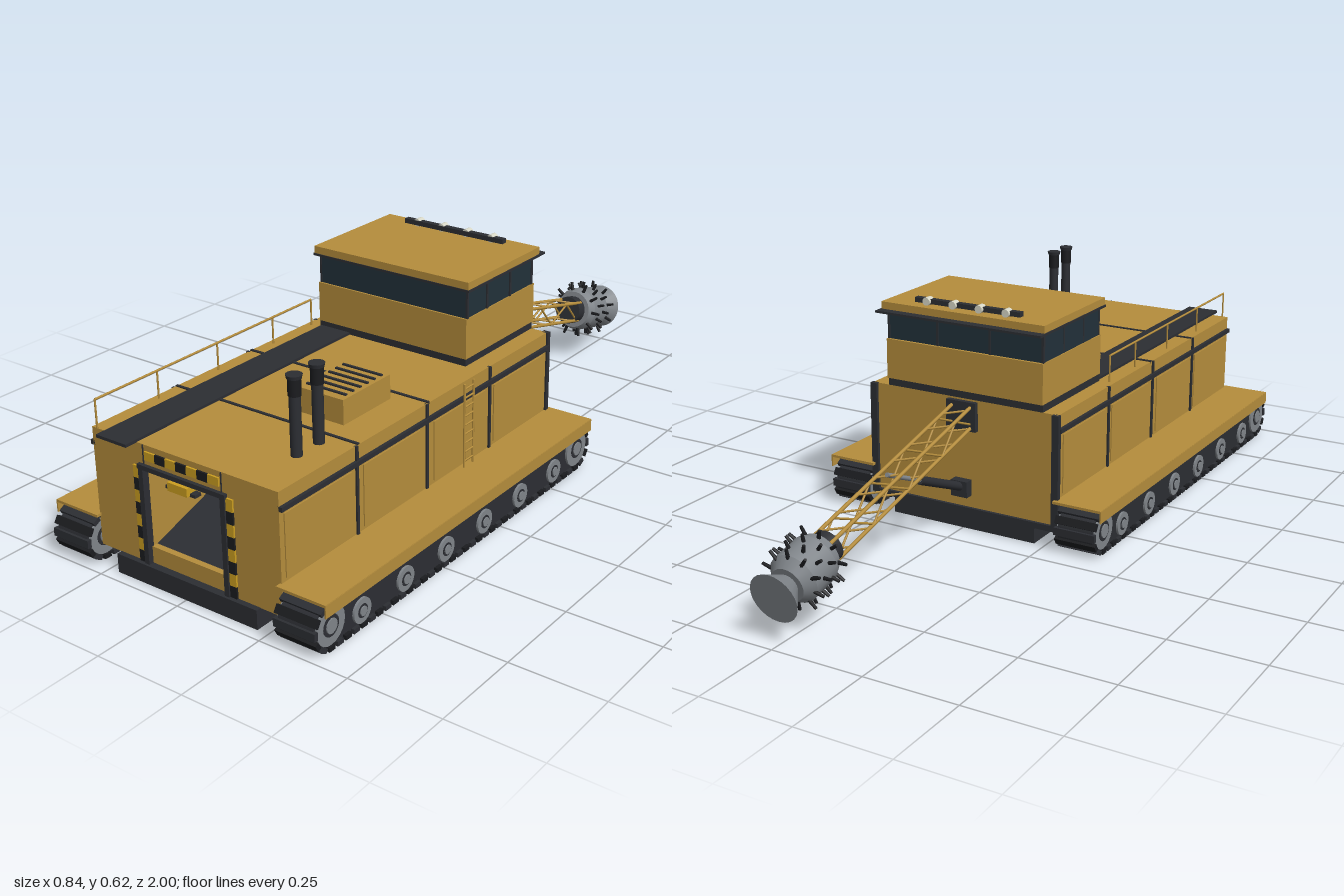
import * as THREE from 'three';

const mat = (color) => new THREE.MeshStandardMaterial({ color });
const V = (x, y, z) => new THREE.Vector3(x, y, z);

export function createModel() {
  const model = new THREE.Group();
  model.name = 'tunnelMiner';
  const ochre = mat(0xb58d3c), dark = mat(0x2c2e33), black = mat(0x1b1c1f), glass = mat(0x22313a),
    steel = mat(0x80858a), hazard = mat(0xcb9e20), lampMat = mat(0xd8d8c8);

  const add = (parent, name, geo, m) => {
    const mesh = new THREE.Mesh(geo, m);
    mesh.name = name;
    parent.add(mesh);
    return mesh;
  };
  // box given by its minimum and maximum on each axis
  const box = (name, x0, x1, y0, y1, z0, z1, m, parent = model) => {
    const b = add(parent, name, new THREE.BoxGeometry(x1 - x0, y1 - y0, z1 - z0), m);
    b.position.set((x0 + x1) / 2, (y0 + y1) / 2, (z0 + z1) / 2);
    return b;
  };
  // round bar between two points
  const bar = (name, a, b, r, m, parent = model, r2 = r, sides = 8) => {
    const c = add(parent, name, new THREE.CylinderGeometry(r2, r, a.distanceTo(b), sides), m);
    c.position.copy(a).add(b).multiplyScalar(0.5);
    c.quaternion.setFromUnitVectors(V(0, 1, 0), b.clone().sub(a).normalize());
    return c;
  };
  const group = (name, parent = model) => {
    const g = new THREE.Group();
    g.name = name;
    parent.add(g);
    return g;
  };

  // Hull: solid forward part and an arch-shaped rear part around the doorway
  box('hullCore', -0.285, 0.285, 0.055, 0.37, -0.165, 0.3, ochre);
  const arch = new THREE.Shape([[-0.285, 0.055], [-0.12, 0.055], [-0.12, 0.31], [0.12, 0.31], [0.12, 0.055],
    [0.285, 0.055], [0.285, 0.37], [-0.285, 0.37]].map(([x, y]) => new THREE.Vector2(x, y)));
  add(model, 'hullBay', new THREE.ExtrudeGeometry(arch, { depth: 0.655, bevelEnabled: false }), ochre).position.z = 0.3;
  box('bellyPlate', -0.22, 0.22, 0.005, 0.056, -0.17, 0.97, dark);

  // Doorway: loading ramp, sill, frame, lamp and warning stripes
  box('doorSill', -0.12, 0.12, 0.055, 0.1, 0.9, 0.95, ochre);
  bar('loadingRamp', V(0, 0.09, 0.94), V(0, 0.3, 0.3), 0.1, dark).geometry = new THREE.BoxGeometry(0.238, 0.674, 0.015);
  box('bayBack', -0.119, 0.119, 0.056, 0.309, 0.3, 0.303, dark);
  box('doorHeader', -0.135, 0.135, 0.308, 0.32, 0.95, 0.965, dark);
  box('lampMount', -0.046, 0.046, 0.284, 0.292, 0.945, 0.965, dark);
  box('doorLamp', -0.03, 0.03, 0.286, 0.308, 0.945, 0.975, hazard);
  for (const s of [-1, 1]) {
    box('doorPost', s * 0.126 - 0.007, s * 0.126 + 0.007, 0.055, 0.31, 0.945, 0.964, dark);
    box('headerSeam', s * 0.12 - 0.001, s * 0.12 + 0.001, 0.32, 0.37, 0.955, 0.958, dark);
    for (let i = 0; i < 8; i++)
      box('sideStripe', s * 0.143 - 0.01, s * 0.143 + 0.01, 0.055 + i * 0.032, 0.087 + i * 0.032, 0.95, 0.96, i % 2 ? hazard : black);
  }
  for (let i = 0; i < 7; i++)
    box('topStripe', -0.114 + i * 0.0326, -0.0814 + i * 0.0326, 0.333, 0.355, 0.95, 0.96, i % 2 ? black : hazard);

  // Hull sides: belt strip, panels, ribs and corner posts
  for (const s of [-1, 1]) {
    const side = (name, y0, y1, z0, z1, t, m) =>
      box(name, s > 0 ? 0.28 : -0.285 - t, s > 0 ? 0.285 + t : -0.28, y0, y1, z0, z1, m);
    side('beltStrip', 0.322, 0.334, -0.165, 0.955, 0.009, dark);
    for (const [z0, z1] of [[0.7, 0.94], [0.43, 0.655], [0.14, 0.37], [-0.14, 0.1]])
      side('sidePanel', 0.15, 0.312, z0, z1, 0.003, ochre);
    for (const z of [0.68, 0.4, 0.12]) side('sideRib', 0.14, 0.37, z - 0.004, z + 0.004, 0.005, dark);
    box('cornerPost', s * 0.28 - 0.01, s * 0.28 + 0.01, 0.055, 0.37, -0.174, -0.16, dark);
  }
  box('frontBottomRail', -0.285, 0.285, 0.05, 0.066, -0.174, -0.16, dark);
  for (const z of [0.67, 0.39]) box('deckSeam', -0.285, 0.285, 0.365, 0.373, z - 0.004, z + 0.004, dark);

  // Crawler tracks: belt with cleats, wheels, fender
  const z0 = -0.135, z1 = 0.935, R = 0.056, cy = 0.066, straight = z1 - z0, loop = 2 * straight + 2 * Math.PI * R;
  const beltShape = new THREE.Shape();
  beltShape.absarc(z1, cy, R, -Math.PI / 2, Math.PI / 2, false);
  beltShape.absarc(z0, cy, R, Math.PI / 2, Math.PI * 1.5, false);
  beltShape.closePath();
  const beltGeo = new THREE.ExtrudeGeometry(beltShape, { depth: 0.1, bevelEnabled: false, curveSegments: 14 });
  beltGeo.rotateY(-Math.PI / 2).translate(0.05, 0, 0);
  const cleatGeo = new THREE.BoxGeometry(0.118, 0.012, 0.021);
  for (const s of [-1, 1]) {
    const track = group(s > 0 ? 'leftTrack' : 'rightTrack');
    track.position.x = s * 0.35;
    add(track, 'trackBelt', beltGeo, dark);
    const count = 84;
    for (let i = 0; i < count; i++) {
      let d = (i / count) * loop, z, y, a;
      if (d < straight) { z = z0 + d; y = cy + R; a = 0; }
      else if ((d -= straight) < Math.PI * R) { a = d / R; z = z1 + R * Math.sin(a); y = cy + R * Math.cos(a); }
      else if ((d -= Math.PI * R) < straight) { z = z1 - d; y = cy - R; a = Math.PI; }
      else { a = Math.PI + (d - straight) / R; z = z0 + R * Math.sin(a); y = cy + R * Math.cos(a); }
      const cleat = add(track, 'trackCleat', cleatGeo, i % 2 ? dark : black);
      cleat.position.set(0, y, z);
      cleat.rotation.x = a;
    }
    const wheel = (z, y, r) => {
      bar('wheel', V(-0.056, y, z), V(0.056, y, z), r, steel, track, r, 20);
      bar('wheelDish', V(-0.057, y, z), V(0.057, y, z), r * 0.55, dark, track, r * 0.55, 20);
      bar('wheelHub', V(-0.06, y, z), V(0.06, y, z), r * 0.38, steel, track, r * 0.38, 12);
    };
    for (const z of [z0, z1]) wheel(z, 0.068, 0.05);
    for (let i = 0; i < 6; i++) wheel(0.82 - i * 0.168, 0.047, 0.032);
    box('fender', -0.07, 0.07, 0.134, 0.141, -0.185, 0.97, ochre, track);
    box('fenderSkirt', s * 0.069 - 0.002, s * 0.069 + 0.002, 0.107, 0.14, -0.185, 0.97, ochre, track);
  }

  // Cab with window band, roof, visor and light bar
  const cab = group('cab');
  box('cabBase', -0.24, 0.235, 0.37, 0.392, -0.165, 0.155, dark, cab);
  box('cabBody', -0.24, 0.237, 0.39, 0.5, -0.168, 0.157, ochre, cab);
  box('windowBand', -0.237, 0.234, 0.5, 0.58, -0.16, 0.152, glass, cab);
  for (const x of [-0.236, -0.08, 0.08, 0.233]) box('frontMullion', x - 0.003, x + 0.003, 0.5, 0.58, -0.163, -0.155, dark, cab);
  for (const s of [-1, 1])
    for (const z of [-0.05, 0.06, 0.15]) box('sideMullion', s * 0.235 - 0.003, s * 0.235 + 0.003, 0.5, 0.58, z - 0.003, z + 0.003, dark, cab);
  box('visor', -0.25, 0.25, 0.577, 0.583, -0.2, 0.165, dark, cab);
  box('cabRoof', -0.247, 0.247, 0.582, 0.603, -0.175, 0.163, ochre, cab);
  box('lightBar', -0.16, 0.16, 0.606, 0.619, -0.145, -0.128, dark, cab);
  for (let i = 0; i < 4; i++) {
    const x = -0.12 + i * 0.08;
    bar('roofLamp', V(x, 0.613, -0.13), V(x, 0.613, -0.153), 0.011, lampMat, cab, 0.011, 14);
    box('lampFoot', x - 0.006, x + 0.006, 0.6, 0.608, -0.141, -0.131, dark, cab);
  }

  // Deck: conveyor, engine cover, exhaust stacks
  box('deckConveyor', -0.235, -0.14, 0.369, 0.377, 0.157, 0.99, dark);
  box('engineCover', 0.055, 0.195, 0.37, 0.435, 0.425, 0.61, ochre);
  for (let i = 0; i < 6; i++) box('louvre', 0.065, 0.185, 0.433, 0.439, 0.441 + i * 0.028, 0.448 + i * 0.028, dark);
  for (const z of [0.715, 0.795]) {
    bar('exhaustStack', V(0.205, 0.37, z), V(0.205, 0.56, z), 0.014, dark, model, 0.014, 16);
    bar('exhaustSleeve', V(0.205, 0.52, z), V(0.205, 0.565, z), 0.016, black, model, 0.016, 16);
    bar('exhaustCap', V(0.205, 0.562, z), V(0.205, 0.571, z), 0.018, dark, model, 0.02, 16);
  }

  // Railing on the right edge, ladder on the left side
  for (const z of [0.955, 0.75, 0.535, 0.32, 0.16]) bar('railPost', V(-0.268, 0.37, z), V(-0.268, 0.445, z), 0.0025, ochre);
  bar('handRail', V(-0.268, 0.444, 0.955), V(-0.268, 0.444, 0.16), 0.003, ochre);
  for (const z of [0.215, 0.255]) bar('ladderRail', V(0.3, 0.142, z), V(0.3, 0.373, z), 0.003, ochre);
  for (let i = 0; i < 9; i++) bar('ladderRung', V(0.3, 0.16 + i * 0.025, 0.215), V(0.3, 0.16 + i * 0.025, 0.255), 0.0025, ochre);

  // Lattice boom, running along its own -z
  const boom = group('boom');
  boom.position.set(0, 0.325, -0.165);
  boom.rotation.x = -0.24;
  const w = 0.028, h = 0.028, bays = 8, step = 0.64 / bays;
  for (const x of [-w, w]) for (const y of [-h, h]) bar('boomChord', V(x, y, 0.01), V(x, y, -0.65), 0.005, ochre, boom);
  for (let i = 0; i < bays; i++) {
    const f = i % 2 ? 1 : -1, a = -i * step, b = a - step;
    for (const s of [-1, 1]) {
      bar('sideBrace', V(s * w, f * h, a), V(s * w, -f * h, b), 0.003, ochre, boom);
      bar('crossBrace', V(-w, s * h, a - 0.02), V(w, s * h, a - 0.055), 0.003, ochre, boom);
    }
  }
  // Cutter head: gearbox neck, drum with picks, flared nose
  const head = group('cutterHead', boom);
  bar('cutterNeck', V(0, 0, -0.625), V(0, 0, -0.68), 0.042, dark, head, 0.042, 20);
  bar('drumBack', V(0, 0, -0.66), V(0, 0, -0.685), 0.056, steel, head, 0.066, 24);
  bar('drum', V(0, 0, -0.685), V(0, 0, -0.765), 0.066, steel, head, 0.066, 24);
  bar('drumFront', V(0, 0, -0.765), V(0, 0, -0.79), 0.066, steel, head, 0.045, 24);
  bar('flaredNose', V(0, 0, -0.785), V(0, 0, -0.843), 0.026, steel, head, 0.066, 24);
  for (let ring = 0; ring < 4; ring++)
    for (let i = 0; i < 10; i++) {
      const a = (i + ring * 0.5) * Math.PI / 5, z = -0.675 - ring * 0.031;
      const p = (r) => V(r * Math.cos(a), r * Math.sin(a), z);
      bar('pick', p(0.055), p(0.086), 0.0055, black, head, 0.004, 6);
    }

  // Lift cylinder under the boom
  bar('liftCylinder', V(0, 0.122, -0.17), V(0, 0.21, -0.38), 0.012, dark, model, 0.012, 14);
  bar('liftRod', V(0, 0.21, -0.38), V(0, 0.272, -0.525), 0.006, steel, model, 0.006, 12);
  box('liftBracket', -0.025, 0.025, 0.1, 0.145, -0.19, -0.16, dark);
  box('boomMount', -0.045, 0.045, 0.285, 0.365, -0.178, -0.16, dark);

  return model;
}
